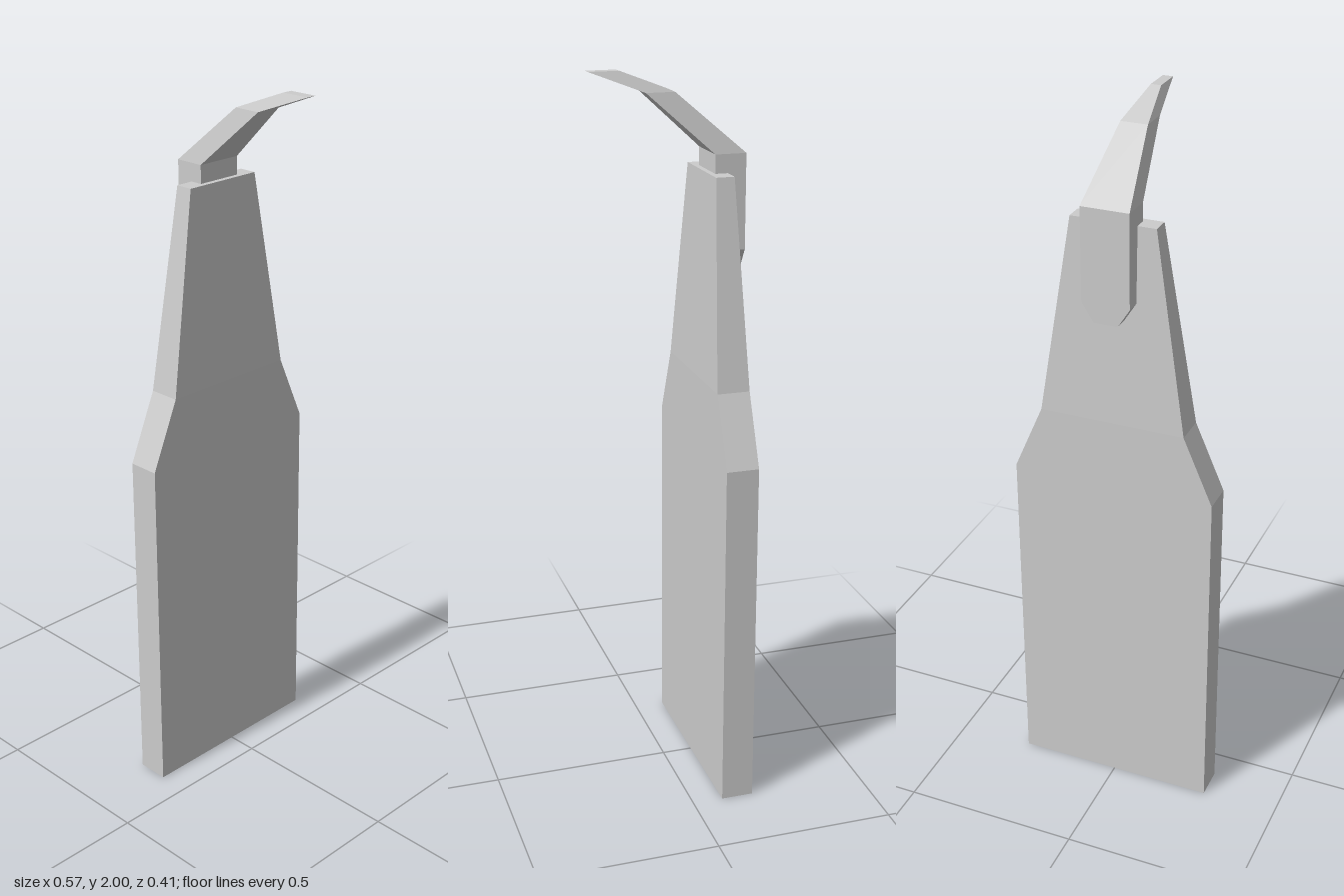
import * as THREE from 'three';

// Skin a stack of horizontal rectangles [y, halfWidth, zBack, zFront], lowest first.
function loft(sections, closeBottom) {
  const rings = sections.map(([y, w, zb, zf]) => [[-w, y, zf], [w, y, zf], [w, y, zb], [-w, y, zb]]);
  const pos = [];
  const quad = (a, b, c, d) => pos.push(...a, ...b, ...c, ...a, ...c, ...d);
  for (let i = 0; i < rings.length - 1; i++) {
    for (let k = 0; k < 4; k++) {
      const n = (k + 1) % 4;
      quad(rings[i][k], rings[i][n], rings[i + 1][n], rings[i + 1][k]);
    }
  }
  quad(...rings[rings.length - 1]);
  if (closeBottom) quad(...[...rings[0]].reverse());
  const geo = new THREE.BufferGeometry();
  geo.setAttribute('position', new THREE.Float32BufferAttribute(pos, 3));
  geo.computeVertexNormals();
  return geo;
}

export function createModel() {
  const group = new THREE.Group();
  const material = new THREE.MeshStandardMaterial({
    color: 0xcccccc, flatShading: true, side: THREE.DoubleSide,
  });
  const add = (name, geo) => {
    const mesh = new THREE.Mesh(geo, material);
    mesh.name = name;
    group.add(mesh);
  };

  // Flat shouldered body, hollow and open underneath
  add('body', loft([
    [0, 0.285, -0.175, -0.085],
    [0.99, 0.285, -0.175, -0.085],
    [1.18, 0.203, -0.175, -0.085],
    [1.735, 0.117, -0.155, -0.105],
  ], false));

  // Hook: chamfered stem on the back, curling forward to a narrow tip
  add('hook', loft([
    [1.478, 0.033, -0.205, -0.12],
    [1.53, 0.066, -0.205, -0.12],
    [1.785, 0.066, -0.205, -0.12],
    [1.945, 0.037, -0.02, 0.058],
    [2, 0.014, 0.122, 0.203],
  ], true));

  return group;
}
